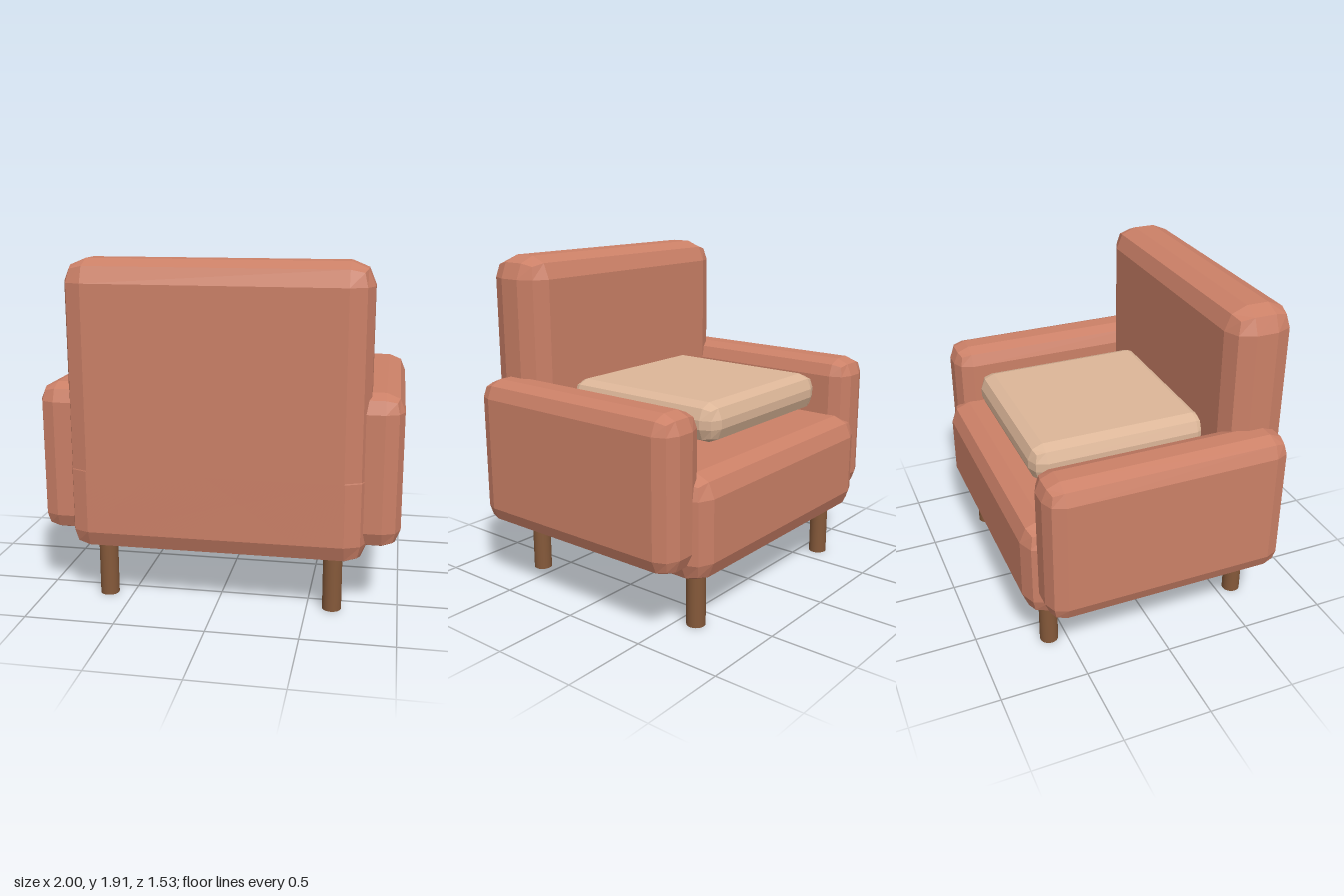
import * as THREE from 'three';
import { RoundedBoxGeometry } from 'three/addons/geometries/RoundedBoxGeometry.js';

const material = (name, color) => {
  const m = new THREE.MeshStandardMaterial({ color });
  m.name = name;
  return m;
};

export function createModel() {
  const chair = new THREE.Group();
  chair.name = 'armchair';
  const fabric = material('terracotta fabric', 0xcb8067);
  const cushionFabric = material('beige fabric', 0xdcb698);
  const wood = material('brown wood', 0x85593a);

  // Padded block with faceted bevels, given by its extents
  const pad = (name, [x0, x1], [y0, y1], [z0, z1], radius, mat) => {
    const geo = new RoundedBoxGeometry(x1 - x0, y1 - y0, z1 - z0, 1, radius);
    geo.computeVertexNormals();
    const mesh = new THREE.Mesh(geo, mat);
    mesh.name = name;
    mesh.position.set((x0 + x1) / 2, (y0 + y1) / 2, (z0 + z1) / 2);
    chair.add(mesh);
  };

  // Seat base and tall backrest
  pad('seatBase', [-0.825, 0.825], [0.3, 0.89], [-0.765, 0.765], 0.12, fabric);
  pad('backrest', [-0.825, 0.825], [0.3, 1.915], [0.39, 0.765], 0.125, fabric);

  // Loose seat cushion
  pad('seatCushion', [-0.535, 0.535], [0.97, 1.19], [-0.62, 0.45], 0.085, cushionFabric);

  // Armrests
  pad('leftArmrest', [0.7, 1], [0.385, 1.235], [-0.7, 0.7], 0.1, fabric);
  pad('rightArmrest', [-1, -0.7], [0.385, 1.235], [-0.7, 0.7], 0.1, fabric);

  // Four round legs
  const legGeo = new THREE.CylinderGeometry(0.053, 0.053, 0.34, 20);
  for (const x of [-0.64, 0.64]) {
    for (const z of [-0.6, 0.6]) {
      const leg = new THREE.Mesh(legGeo, wood);
      leg.name = 'leg';
      leg.position.set(x, 0.17, z);
      chair.add(leg);
    }
  }
  return chair;
}
